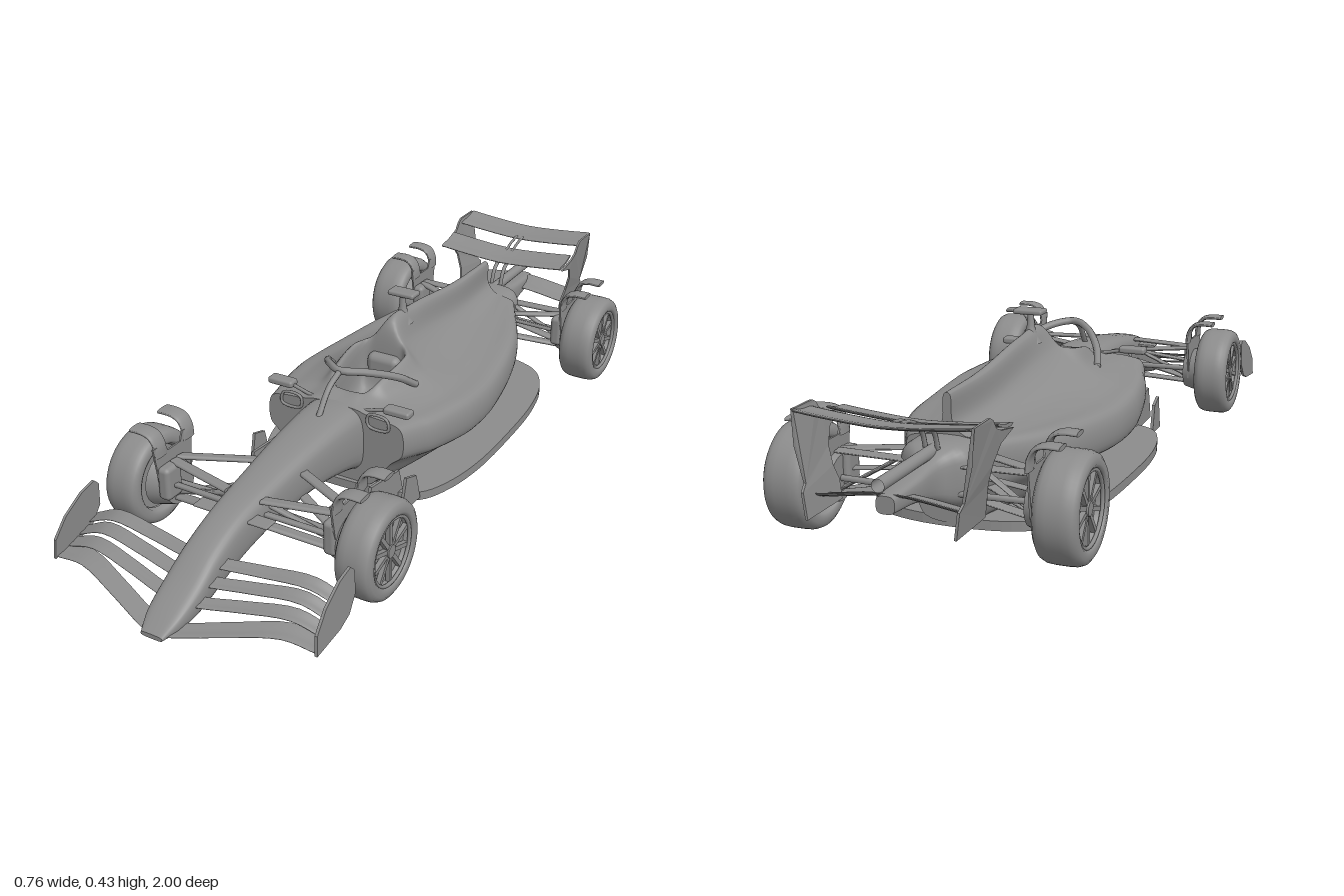
import * as THREE from 'three';
import { mergeVertices } from 'three/addons/utils/BufferGeometryUtils.js';
import { RoundedBoxGeometry } from 'three/addons/geometries/RoundedBoxGeometry.js';

const V = (x, y, z) => new THREE.Vector3(x, y, z);

// Smooth capped skin through closed rings of points
function loft(rings, nu, nv) {
  const smooth = rings.map(r => new THREE.CatmullRomCurve3(r, true).getPoints(nu).slice(0, nu));
  const cols = [];
  for (let j = 0; j < nu; j++) cols.push(new THREE.CatmullRomCurve3(smooth.map(r => r[j])).getPoints(nv));
  const pos = [], idx = [];
  for (let i = 0; i <= nv; i++) for (let j = 0; j < nu; j++) pos.push(...cols[j][i].toArray());
  for (let i = 0; i < nv; i++) for (let j = 0; j < nu; j++) {
    const k = (j + 1) % nu, a = i * nu + j, b = i * nu + k;
    idx.push(a, b, a + nu, b, b + nu, a + nu);
  }
  for (const i of [0, nv]) {
    const base = pos.length / 3, c = V(0, 0, 0);
    for (let j = 0; j < nu; j++) { pos.push(...cols[j][i].toArray()); c.addScaledVector(cols[j][i], 1 / nu); }
    pos.push(c.x, c.y, c.z);
    for (let j = 0; j < nu; j++) {
      const k = (j + 1) % nu;
      if (i) idx.push(base + j, base + k, base + nu); else idx.push(base + k, base + j, base + nu);
    }
  }
  const g = new THREE.BufferGeometry();
  g.setAttribute('position', new THREE.Float32BufferAttribute(pos, 3));
  g.setIndex(idx);
  g.computeVertexNormals();
  return g;
}

// Rounded-box rings running backwards along z: half width, bottom, top
function hull(stations, nv) {
  return loft(stations.map(([z, w, b, t]) => {
    const ring = [];
    for (let i = 0; i < 16; i++) {
      const a = i / 16 * Math.PI * 2, f = v => Math.sign(v) * Math.pow(Math.abs(v), 0.6);
      ring.push(V(w * f(Math.sin(a)), (b + t) / 2 + (t - b) / 2 * f(Math.cos(a)), z));
    }
    return ring;
  }), 32, nv);
}

// Thin aerofoil through [x, y, z, chord, rise] stations, from left to right
function blade(stations, thick = 0.006, steps = 16) {
  return loft(stations.map(([x, y, z, c, rise]) => {
    const p = (u, s) => V(x, y + rise * u * u + s * thick * (1 - 0.6 * u), z + c * (0.5 - u));
    return [p(0, 0), p(0.15, 0.5), p(0.5, 0.5), p(1, 0.4), p(1, -0.4), p(0.5, -0.5), p(0.15, -0.5)];
  }), 21, steps);
}

// Upright plate from a side outline of [z, y], shifted across by a rule
function plate(outline, thick, across) {
  const shape = new THREE.Shape(outline.map(([z, y]) => new THREE.Vector2(-z, y)));
  const g = new THREE.ExtrudeGeometry(shape, { depth: thick, bevelEnabled: false }).rotateY(Math.PI / 2);
  const p = g.attributes.position;
  for (let i = 0; i < p.count; i++) p.setX(i, p.getX(i) + across(p.getY(i), p.getZ(i)));
  g.computeVertexNormals();
  return g;
}

const rod = (a, b, r) => new THREE.TubeGeometry(new THREE.LineCurve3(V(...a), V(...b)), 1, r, 8);
const tube = (pts, r, n = 32, closed = false) =>
  new THREE.TubeGeometry(new THREE.CatmullRomCurve3(pts.map(p => V(...p)), closed), n, r, 8, closed);
const box = (w, h, d, x, y, z, r = 0.004) => new RoundedBoxGeometry(w, h, d, 2, r).translate(x, y, z);

function mirrored(geo) {
  const g = mergeVertices(geo.clone()).scale(-1, 1, 1), ix = g.index;
  for (let i = 0; i < ix.count; i += 3) {
    const t = ix.getX(i);
    ix.setX(i, ix.getX(i + 1));
    ix.setX(i + 1, t);
  }
  return g;
}

export function createModel() {
  const model = new THREE.Group();
  model.name = 'openWheelRaceCar';
  const grey = new THREE.MeshStandardMaterial({ name: 'grey', color: 0x8c8c8c, side: THREE.DoubleSide });
  const add = (name, geo) => {
    const m = new THREE.Mesh(geo, grey);
    m.name = name;
    model.add(m);
  };
  const pair = (name, geo) => { add(name + 'Left', geo); add(name + 'Right', mirrored(geo)); };

  // Nose and chassis
  add('nose', hull([
    [0.995, 0.03, 0.018, 0.03], [0.95, 0.046, 0.018, 0.06], [0.88, 0.054, 0.024, 0.1], [0.8, 0.054, 0.042, 0.148],
    [0.7, 0.055, 0.07, 0.187], [0.55, 0.062, 0.095, 0.217], [0.4, 0.073, 0.1, 0.24], [0.25, 0.085, 0.075, 0.253],
    [0.17, 0.09, 0.04, 0.25]], 48));

  // Bodywork: z, spine y, then x/y pairs out over the pod and its undercut, then the foot x
  const body = [
    [0.22, 0.25, 0.04, 0.25, 0.07, 0.247, 0.1, 0.24, 0.15, 0.236, 0.195, 0.222, 0.2, 0.15, 0.165, 0.115, 0.1],
    [0.15, 0.255, 0.03, 0.257, 0.055, 0.258, 0.1, 0.242, 0.16, 0.232, 0.216, 0.214, 0.222, 0.14, 0.18, 0.1, 0.12],
    [0.11, 0.17, 0.045, 0.175, 0.065, 0.278, 0.105, 0.248, 0.17, 0.228, 0.23, 0.21, 0.235, 0.132, 0.19, 0.095, 0.13],
    [-0.02, 0.17, 0.06, 0.18, 0.075, 0.305, 0.12, 0.258, 0.19, 0.222, 0.253, 0.202, 0.258, 0.118, 0.212, 0.083, 0.155],
    [-0.07, 0.367, 0.016, 0.36, 0.05, 0.312, 0.115, 0.256, 0.19, 0.219, 0.256, 0.198, 0.261, 0.113, 0.216, 0.08, 0.16],
    [-0.2, 0.37, 0.014, 0.36, 0.036, 0.298, 0.1, 0.242, 0.18, 0.213, 0.25, 0.193, 0.255, 0.11, 0.21, 0.08, 0.155],
    [-0.46, 0.34, 0.012, 0.333, 0.026, 0.268, 0.07, 0.234, 0.13, 0.22, 0.195, 0.207, 0.2, 0.125, 0.16, 0.09, 0.11],
    [-0.66, 0.335, 0.008, 0.33, 0.014, 0.265, 0.04, 0.238, 0.07, 0.232, 0.1, 0.22, 0.1, 0.14, 0.085, 0.1, 0.06]];
  add('engineCoverAndSidepods', loft(body.map(s => {
    const z = s[0], half = [];
    for (let i = 2; i < 16; i += 2) half.push(V(s[i], s[i + 1], z));
    half.push(V(s[16], 0.036, z));
    const other = half.map(p => V(-p.x, p.y, z)).reverse();
    return [V(0, s[1], z), ...half, ...other];
  }), 102, 84));
  add('gearbox', hull([[-0.6, 0.1, 0.06, 0.23], [-0.68, 0.095, 0.07, 0.238], [-0.73, 0.085, 0.09, 0.235],
    [-0.77, 0.04, 0.11, 0.215], [-0.86, 0.03, 0.14, 0.2], [-0.97, 0.022, 0.15, 0.19]], 24));
  add('exhaust', new THREE.CylinderGeometry(0.015, 0.015, 0.28, 16, 1, true).rotateX(Math.PI / 2).translate(0, 0.222, -0.86));

  // Floor
  const edge = [[0.23, 0.09], [0.215, 0.19], [0.18, 0.243], [0.1, 0.278], [-0.02, 0.298], [-0.2, 0.3], [-0.4, 0.287],
    [-0.53, 0.255], [-0.61, 0.2], [-0.65, 0.1]];
  const rim = [...edge, ...edge.map(([z, x]) => [z, -x]).reverse()].map(([z, x]) => V(x, -z, 0));
  const floorShape = new THREE.Shape(new THREE.CatmullRomCurve3(rim, true).getPoints(96)
    .map(p => new THREE.Vector2(p.x, p.y)));
  add('floor', new THREE.ExtrudeGeometry(floorShape, { depth: 0.024, bevelEnabled: false })
    .rotateX(-Math.PI / 2).translate(0, 0.014, 0));
  for (const [x, k] of [[0.18, 1], [0.23, 0.75]]) {
    pair('floorFence', plate([[0.19, 0.025], [0.36 * k + 0.01, 0.02], [0.33 * k + 0.01, 0.115], [0.21, 0.1]], 0.008,
      (y, z) => x - 0.05 * (z - 0.2)));
  }

  // Cockpit: halo, inlets, mirrors, camera
  add('haloRing', tube([[0.13, 0.25, 0.02], [0.108, 0.288, 0.075], [0.055, 0.322, 0.15], [0, 0.331, 0.19],
    [-0.055, 0.322, 0.15], [-0.108, 0.288, 0.075], [-0.13, 0.25, 0.02]], 0.01, 48));
  add('haloStrut', tube([[0, 0.33, 0.19], [0, 0.305, 0.245], [0, 0.24, 0.3]], 0.008, 16));
  add('headrest', box(0.1, 0.06, 0.05, 0, 0.25, -0.045, 0.02));
  pair('inletRim', tube([[0.103, 0.213, 0.222], [0.103, 0.244, 0.222], [0.155, 0.244, 0.222], [0.16, 0.213, 0.222]], 0.004, 32, true));
  pair('mirror', box(0.075, 0.019, 0.035, 0.175, 0.26, 0.195, 0.007));
  pair('mirrorStalk', rod([0.07, 0.24, 0.2], [0.15, 0.258, 0.195], 0.005));
  add('cameraPost', new THREE.LatheGeometry([[0.03, 0.34], [0.016, 0.362], [0.01, 0.385], [0.008, 0.42]]
    .map(p => new THREE.Vector2(...p)), 16).translate(0, 0, -0.14));
  add('cameraBar', box(0.08, 0.014, 0.045, 0, 0.423, -0.145, 0.006));

  // Front wing: four swept elements and end plates
  const elements = [[0.865, 0.048, 0.058, 0.028, 0.105, 0.05], [0.832, 0.055, 0.08, 0.06, 0.062, 0.034],
    [0.793, 0.065, 0.1, 0.085, 0.05, 0.034], [0.755, 0.08, 0.115, 0.108, 0.042, 0.034]];
  elements.forEach(([z, yo, ym, yi, sweep, c], i) => pair('frontWingElement', blade([
    [0.365, yo, z, c, 0.008], [0.28, ym, z + 0.008, c, 0.012], [0.16, (ym + yi) / 2, z + sweep * 0.45, c, 0.01],
    [0.06, yi, z + sweep * 0.8, c, 0.008], [0, i ? yi : 0.022, z + sweep, c, 0.006]])));
  pair('frontEndPlate', plate([[0.895, 0.045], [0.89, 0.095], [0.85, 0.14], [0.79, 0.175], [0.745, 0.185], [0.73, 0.17],
    [0.73, 0.11], [0.745, 0.09], [0.76, 0.07], [0.8, 0.055]], 0.007, y => 0.363 - 0.04 * (y - 0.05)));
  pair('noseTab', box(0.06, 0.007, 0.04, 0.075, 0.165, 0.67, 0.003));

  // Rear wing
  const wing = (y, z, c, rise) => blade([0.202, 0.14, 0, -0.14, -0.202]
    .map(x => [x, y + 0.016 * Math.pow(Math.abs(x) / 0.202, 1.5), z, c, rise]), 0.01);
  add('rearWingFlap', wing(0.328, -0.942, 0.088, 0.014));
  add('rearWingMain', wing(0.296, -0.802, 0.085, 0.018));
  const lean = y => 0.168 + 0.035 * THREE.MathUtils.smoothstep(y, 0.12, 0.33);
  pair('rearEndPlate', plate([[-0.77, 0.305], [-0.84, 0.318], [-0.868, 0.33], [-0.885, 0.352], [-0.9, 0.36], [-0.98, 0.36],
    [-0.982, 0.28], [-0.98, 0.2], [-0.998, 0.185], [-0.998, 0.125], [-0.85, 0.125], [-0.85, 0.17], [-0.862, 0.205],
    [-0.86, 0.25], [-0.835, 0.288]], 0.006, lean));
  add('beamWing', blade([[0.172, 0.15, -0.92, 0.07, 0.02], [0, 0.17, -0.92, 0.07, 0.02], [-0.172, 0.15, -0.92, 0.07, 0.02]], 0.008));
  pair('wingPylon', tube([[0.015, 0.22, -0.74], [0.015, 0.27, -0.76], [0.015, 0.298, -0.8]], 0.006, 12));
  pair('flapActuator', tube([[0.01, 0.31, -0.83], [0.01, 0.325, -0.87], [0.01, 0.332, -0.91]], 0.004, 8));

  // Wheels, brake ducts, wheel deflectors and suspension
  for (const [end, z, r, x, w] of [['front', 0.572, 0.126, 0.33, 0.048], ['rear', -0.73, 0.128, 0.324, 0.052]]) {
    const place = g => g.rotateZ(-Math.PI / 2).translate(x, r, z);
    const profile = [[0.66, -0.6], [0.7, -0.92], [0.76, -1], [0.87, -0.98], [0.95, -0.85], [0.99, -0.62], [1, -0.3],
      [1, 0.3], [0.99, 0.62], [0.95, 0.85], [0.87, 0.98], [0.76, 1], [0.7, 0.92], [0.66, 0.5]];
    pair(end + 'Tyre', place(new THREE.LatheGeometry(profile.map(([a, b]) => new THREE.Vector2(a * r, b * w)), 48)));
    pair(end + 'RimDisc', place(new THREE.CylinderGeometry(r * 0.67, r * 0.67, w, 40)));
    pair(end + 'RimEdge', place(new THREE.TorusGeometry(r * 0.67, 0.005, 8, 40).rotateX(Math.PI / 2).translate(0, w * 0.82, 0)));
    pair(end + 'Hub', place(new THREE.CylinderGeometry(r * 0.13, r * 0.17, w * 0.5, 20).translate(0, w * 0.6, 0)));
    for (let i = 0; i < 10; i++) {
      pair(end + 'Spoke', place(new THREE.BoxGeometry(r * 0.58, 0.012, 0.011)
        .translate(r * 0.37, w * 0.66, 0).rotateY(i * Math.PI / 5)));
    }
    pair(end + 'BrakeDuct', new THREE.CylinderGeometry(0.07, 0.055, 0.055, 28).rotateZ(-Math.PI / 2).translate(0.262, r, z));
    pair(end + 'DuctScoop', box(0.035, 0.09, 0.06, 0.238, 0.15, z + 0.035, 0.012));
    pair(end + 'DeflectorPlate', plate([[z - 0.08, 0.25], [z - 0.06, 0.11], [z + 0.05, 0.1], [z + 0.075, 0.25],
      [z + 0.03, 0.25], [z + 0.02, 0.225], [z - 0.03, 0.225], [z - 0.04, 0.25]], 0.005, () => 0.25));
    // two curled fingers over each tyre
    for (const dz of [-0.064, 0.046]) {
      const path = [[0.252, 0.22], [0.255, 0.25], [0.268, 0.272], [0.29, 0.28], [0.327, 0.28]];
      pair(end + 'DeflectorFinger', loft(path.map(([px, py], i) => {
        const a = i < 2 ? 0 : i === 2 ? 0.8 : 1.57, nx = Math.cos(a) * 0.003, ny = -Math.sin(a) * 0.003;
        const q = (s, d) => V(px + s * nx, py + s * ny, z + dz + d);
        return [q(1, 0.021), q(1, -0.021), q(-1, -0.021), q(-1, 0.021)];
      }), 16, 16));
    }
    // flat-section suspension arms
    const arm = (name, a, b, c) => pair(end + name, blade([[...a, c, 0], [...b, c, 0]], 0.012, 4));
    const [inX, fore, aft] = end === 'front' ? [0.05, 0.05, -0.11] : [0.07, 0.1, 0.0];
    for (const [yOut, yIn] of [[0.192, 0.19], [0.09, 0.125]]) {
      for (const d of [fore, aft]) arm('Wishbone', [0.245, yOut, z + d * 0.15], [inX, yIn, z + d], 0.03);
    }
    arm('PushRod', [0.24, 0.1, z], [inX, end === 'front' ? 0.17 : 0.2, z + 0.03], 0.018);
    arm('TrackRod', [0.245, 0.14, z + 0.03], [inX, 0.155, z + 0.05], 0.018);
    pair(end + 'Axle', rod([0.05, r, z - 0.01], [0.28, r, z], 0.008));
  }
  return model;
}
